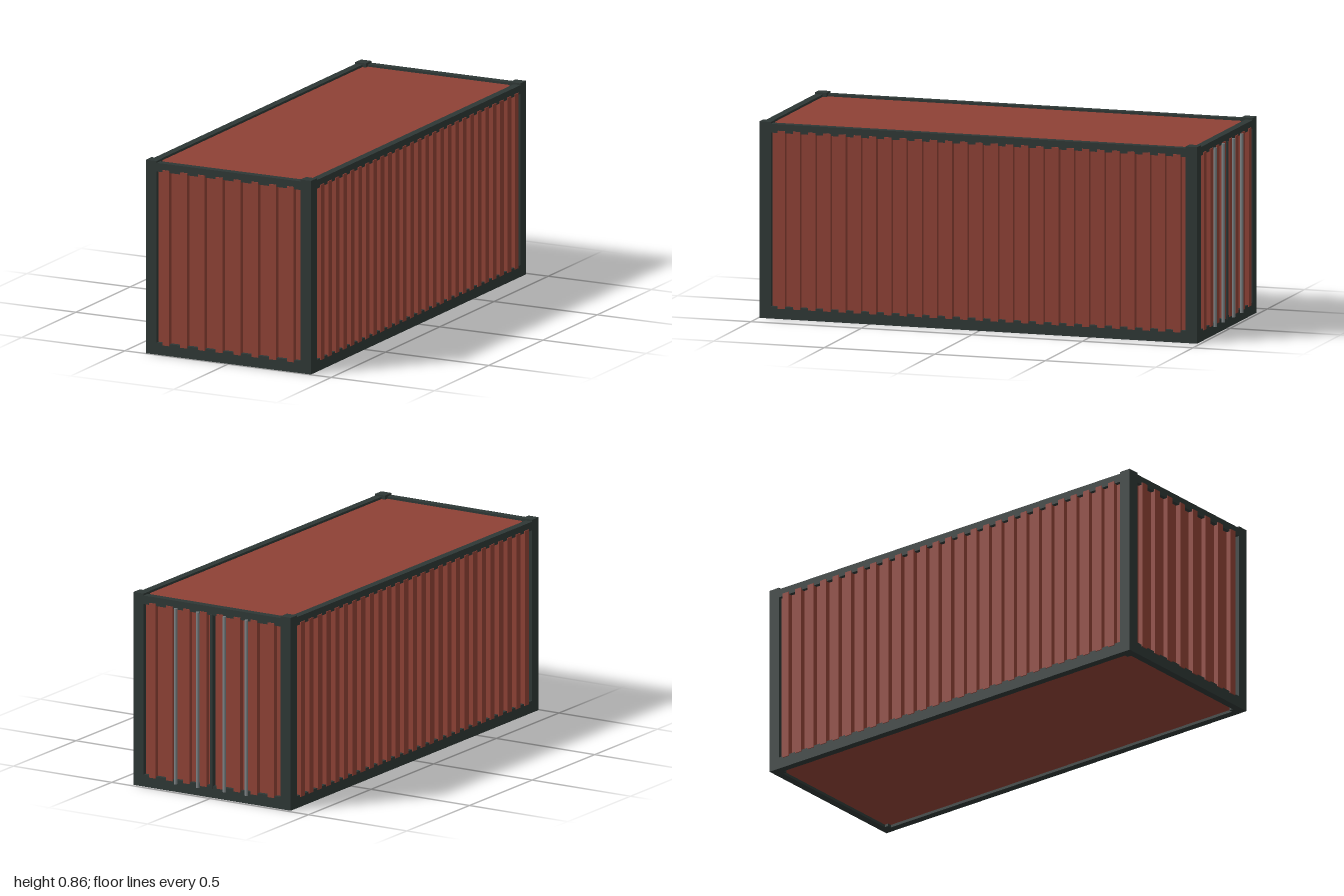
import * as THREE from 'three';

export function createModel() {
  const root = new THREE.Group();
  root.name = 'shippingContainer';

  const mat = (name, color) => {
    const m = new THREE.MeshStandardMaterial({ color });
    m.name = name;
    return m;
  };
  const red = mat('rust red', 0x8e4135);
  const dark = mat('dark frame', 0x2e3735);
  const steel = mat('steel grey', 0x7c8284);

  // Box given by its minimum and maximum corners
  const box = (name, material, x0, x1, y0, y1, z0, z1) => {
    const mesh = new THREE.Mesh(new THREE.BoxGeometry(x1 - x0, y1 - y0, z1 - z0), material);
    mesh.position.set((x0 + x1) / 2, (y0 + y1) / 2, (z0 + z1) / 2);
    mesh.name = name;
    root.add(mesh);
    return mesh;
  };

  const X = 0.4, ZF = 0.995, ZB = -0.985; // outer faces of the frame
  const TOP = 0.848, POST = 0.052, RAIL = 0.034;
  const RIB = 0.033, RIB_Y0 = 0.045, RIB_Y1 = 0.82;
  const RECESS = 0.018; // wall sheet depth behind the frame

  // Red body forming the wall sheets, roof and floor
  box('body', red, -X + RECESS, X - RECESS, 0.012, 0.838, ZB + RECESS, ZF - RECESS);

  // Corner posts and side rails
  for (const s of [-1, 1]) {
    const xs = (inset) => (s > 0 ? [X - inset, X] : [-X, -X + inset]);
    box('frontPost', dark, ...xs(POST), 0, 0.856, ZF - POST, ZF);
    box('backPost', dark, ...xs(POST), 0, 0.856, ZB, ZB + POST);
    box('topSideRail', dark, ...xs(RAIL), 0.81, TOP, ZB + POST, ZF - POST);
    box('bottomSideRail', dark, ...xs(RAIL), 0, 0.053, ZB + POST, ZF - POST);
  }

  // End rails between the posts
  for (const [end, z0, z1] of [['front', ZF - RAIL, ZF], ['back', ZB, ZB + RAIL]]) {
    box(end + 'TopRail', dark, -X + POST, X - POST, 0.81, TOP, z0, z1);
    box(end + 'BottomRail', dark, -X + POST, X - POST, 0, 0.053, z0, z1);
  }

  // Side corrugation ribs
  for (let i = 0; i < 27; i++) {
    const z = 0.895 - i * 0.0688;
    box('leftRib', red, X - RECESS - 0.002, X + 0.004, RIB_Y0, RIB_Y1, z - RIB / 2, z + RIB / 2);
    box('rightRib', red, -X - 0.004, -X + RECESS + 0.002, RIB_Y0, RIB_Y1, z - RIB / 2, z + RIB / 2);
  }

  // End wall and door ribs
  for (let i = 0; i < 8; i++) {
    const x = (i - 3.5) * 0.0862;
    box('frontRib', red, x - RIB / 2, x + RIB / 2, RIB_Y0, RIB_Y1, ZF - RECESS - 0.002, ZF + 0.005);
    box('doorRib', red, x - RIB / 2, x + RIB / 2, RIB_Y0, RIB_Y1, ZB - 0.004, ZB + RECESS + 0.002);
  }

  // Seam between the two doors
  box('doorSeam', dark, -0.006, 0.006, 0.04, 0.815, ZB - 0.005, ZB + RECESS + 0.002);

  // Door locking rods
  const rodGeometry = new THREE.CylinderGeometry(0.0075, 0.0075, 0.78, 12);
  for (const x of [-0.18, -0.068, 0.068, 0.18]) {
    const rod = new THREE.Mesh(rodGeometry, steel);
    rod.position.set(x, 0.427, -0.9925);
    rod.name = 'lockingRod';
    root.add(rod);
  }

  return root;
}
